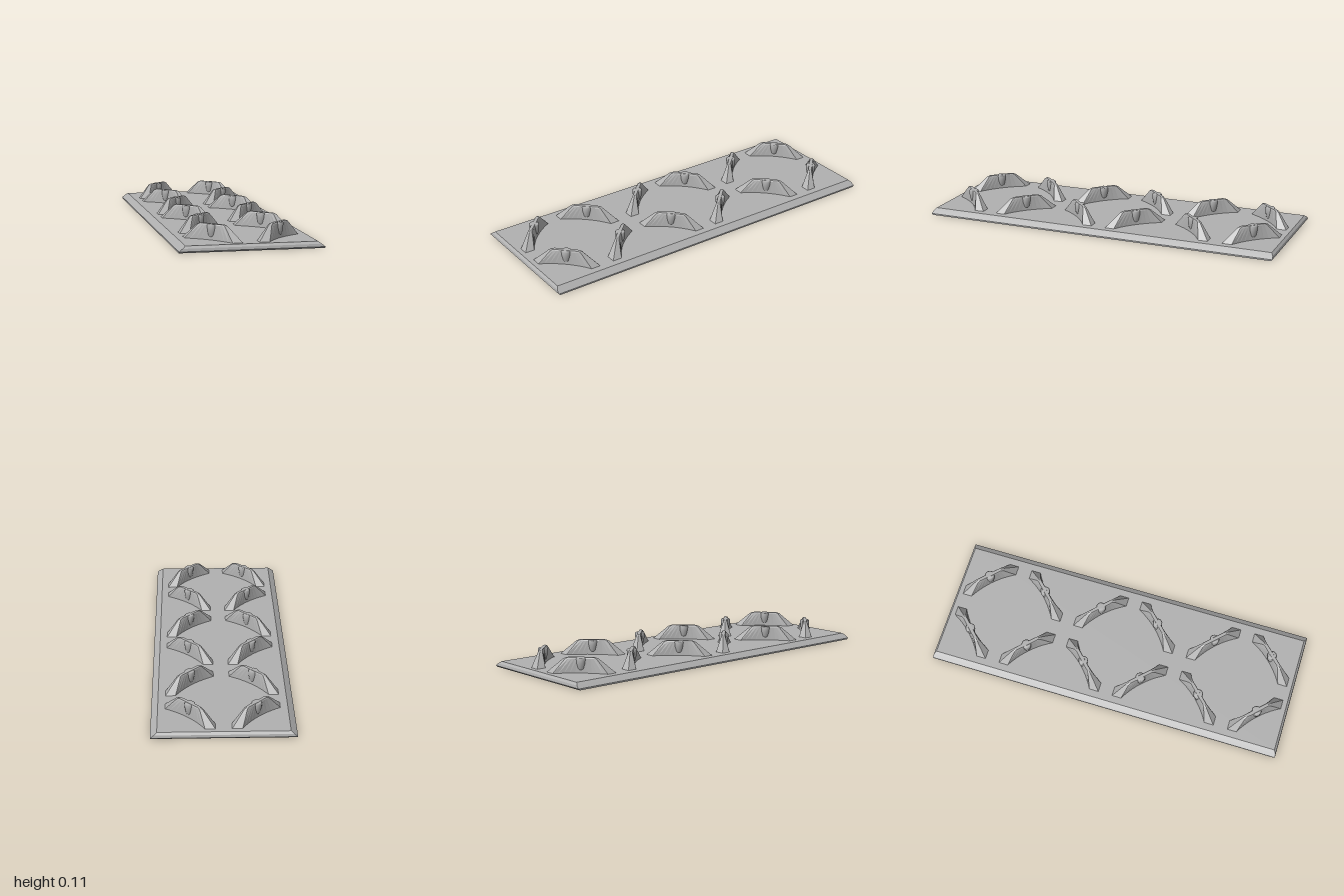
import * as THREE from 'three';

// Closed flat-shaded solid from matching outlines [[x, z], ...] stacked at heights
function loft(levels) {
  const pos = [];
  const n = levels[0].pts.length;
  const at = (l, i) => [l.pts[i % n][0], l.y, l.pts[i % n][1]];
  const tri = (a, b, c) => pos.push(...a, ...b, ...c);
  for (let k = 0; k + 1 < levels.length; k++) {
    for (let i = 0; i < n; i++) {
      const a = at(levels[k], i), b = at(levels[k], i + 1);
      const c = at(levels[k + 1], i), d = at(levels[k + 1], i + 1);
      tri(a, c, b);
      tri(b, c, d);
    }
  }
  const lo = levels[0], hi = levels[levels.length - 1];
  for (let i = 0; i < n; i++) {
    tri([0, lo.y, 0], at(lo, i), at(lo, i + 1));
    tri([0, hi.y, 0], at(hi, i + 1), at(hi, i));
  }
  const geo = new THREE.BufferGeometry();
  geo.setAttribute('position', new THREE.Float32BufferAttribute(pos, 3));
  geo.computeVertexNormals();
  return geo;
}

const rect = (x, z) => [[x, -z], [x, z], [-x, z], [-x, -z]];

// Waisted bar outline: pointed tip, shoulder, then a curve in to the waist
function bowTie(tip, shoulder, halfWidth, waist) {
  const side = [];
  const steps = 10;
  for (let i = 0; i <= steps; i++) {
    const t = 1 - (2 * i) / steps;
    side.push([shoulder * t, waist + (halfWidth - waist) * t * t]);
  }
  return [[tip, 0], ...side, [-tip, 0], ...side.map(([x, z]) => [-x, -z])];
}

export function createModel() {
  const group = new THREE.Group();
  const grey = new THREE.MeshStandardMaterial({ color: 0xb0b0b0 });
  grey.name = 'plainGrey';

  // Bevelled base plate
  const plate = new THREE.Mesh(loft([
    { y: 0, pts: rect(0.367, 0.992) },
    { y: 0.008, pts: rect(0.367, 1) },
    { y: 0.022, pts: rect(0.349, 0.997) },
    { y: 0.034, pts: rect(0.333, 0.986) },
  ]), grey);
  plate.name = 'basePlate';
  group.add(plate);

  // Shared lug shapes
  const lugGeo = loft([
    { y: 0.033, pts: bowTie(0.18, 0.143, 0.037, 0.016) },
    { y: 0.108, pts: bowTie(0.09, 0.08, 0.011, 0.012) },
    { y: 0.114, pts: bowTie(0.073, 0.065, 0.008, 0.009) },
  ]);
  const bossGeo = new THREE.LatheGeometry([
    [0, 0.045], [0.014, 0.048], [0.02, 0.055], [0.026, 0.085],
    [0.027, 0.108], [0.022, 0.113], [0, 0.113],
  ].map(([r, y]) => new THREE.Vector2(r, y)), 16);

  // Two mirrored columns of six lugs, turned alternately
  for (const side of [-1, 1]) {
    for (let row = 0; row < 6; row++) {
      const lug = new THREE.Group();
      lug.name = 'diagonalLug';
      const bar = new THREE.Mesh(lugGeo, grey);
      bar.name = 'lugBar';
      const boss = new THREE.Mesh(bossGeo, grey);
      boss.name = 'lugBoss';
      lug.add(bar, boss);
      lug.position.set(side * 0.168, 0, (row - 2.5) / 3);
      lug.rotation.y = -side * (row % 2 ? -1 : 1) * Math.PI / 4;
      group.add(lug);
    }
  }
  return group;
}
